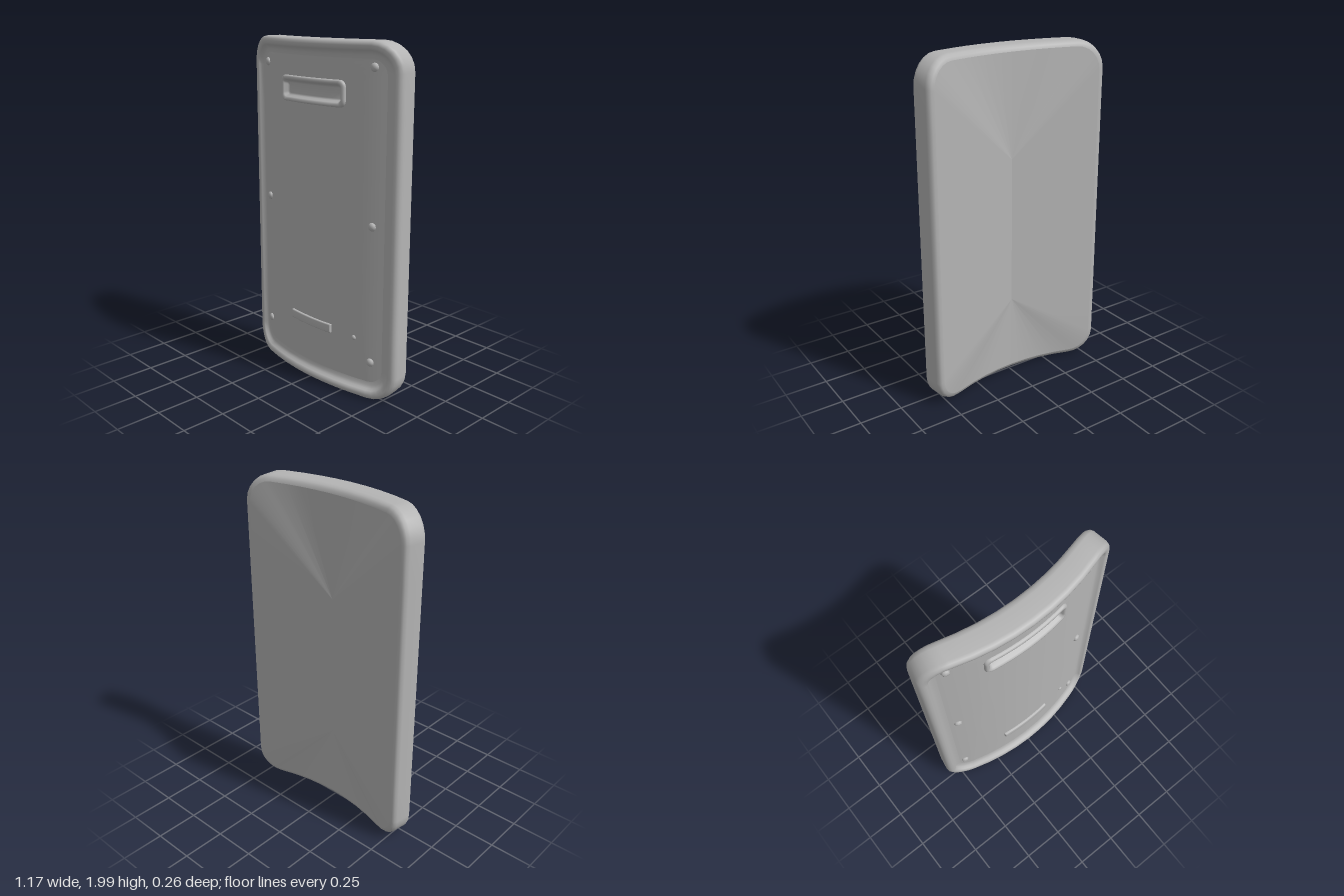
import * as THREE from 'three';

// Rounded-rectangle loop, counter-clockwise from the front; the point count is always the same
function loop(cx, cy, w, h, r) {
  const corners = [[1, -1], [1, 1], [-1, 1], [-1, -1]];
  const pts = [];
  corners.forEach(([sx, sy], q) => {
    const arc = [];
    for (let i = 0; i <= 6; i++) {
      const a = (q - 1 + i / 6) * Math.PI / 2;
      arc.push([cx + sx * (w - r) + r * Math.cos(a), cy + sy * (h - r) + r * Math.sin(a)]);
    }
    pts.push(...arc);
    // points along the straight edge to the next corner
    const [nx, ny] = corners[(q + 1) % 4];
    const a = (q * Math.PI) / 2;
    const end = [cx + nx * (w - r) + r * Math.cos(a), cy + ny * (h - r) + r * Math.sin(a)];
    const start = arc[6];
    for (let i = 1; i < 8; i++) {
      pts.push([start[0] + (end[0] - start[0]) * i / 8, start[1] + (end[1] - start[1]) * i / 8]);
    }
  });
  return pts;
}

// Wrap a flat point at depth d (0 = rim front, -0.16 = back) around the curved shield
function bend(x, y, d) {
  const u2 = (x / 0.587) ** 2;
  return [
    x * (1 + 0.245 * d),
    y + 0.02 * (1 - u2) * Math.max(0, 1 - y / 0.3),
    0.132 - 0.13 * u2 + d * (1 - 0.125 * u2),
  ];
}

// Skin a list of { pts, d } rings
function loft(rings) {
  const n = rings[0].pts.length, pos = [], idx = [];
  rings.forEach(({ pts, d }) => pts.forEach(([x, y]) => pos.push(...bend(x, y, d))));
  for (let k = 0; k < rings.length - 1; k++) {
    for (let i = 0; i < n; i++) {
      const j = (i + 1) % n, a = k * n + i, b = k * n + j, c = b + n, e = a + n;
      idx.push(a, b, c, a, c, e);
    }
  }
  const g = new THREE.BufferGeometry();
  g.setAttribute('position', new THREE.Float32BufferAttribute(pos, 3));
  g.setIndex(idx);
  g.computeVertexNormals();
  return g;
}

const outline = (inset, d) => ({ pts: loop(0, 1, 0.587 - inset, 1 - inset, 0.16 - inset * 0.8), d });
const grip = (inset, d) => ({ pts: loop(-0.003, 1.718, 0.257 - inset, 0.073 - inset, 0.035 - inset * 0.5), d });
const FLOOR = -0.04;

export function createModel() {
  const group = new THREE.Group();
  const grey = new THREE.MeshStandardMaterial({ color: 0xb4b4b4 });
  grey.name = 'grey';
  const add = (name, geo) => {
    const m = new THREE.Mesh(geo, grey);
    m.name = name;
    group.add(m);
    return m;
  };

  // Back panel fans out from a short centre line
  const backEdge = outline(0.035, -0.162);
  const spine = backEdge.pts.map(([, y]) => [0, Math.min(1.37, Math.max(0.5, y))]);
  add('backPanel', loft([{ pts: spine, d: -0.162 }, backEdge]));

  // Rounded side wall and raised front rim
  add('rim', loft([
    backEdge, outline(0.018, -0.156), outline(0.006, -0.142), outline(0, -0.12),
    outline(0, -0.03), outline(0.004, -0.012), outline(0.014, -0.002), outline(0.026, 0),
    outline(0.04, -0.003), outline(0.05, -0.012), outline(0.058, -0.028), outline(0.075, -0.037),
    outline(0.095, FLOOR),
  ]));

  // Recessed front panel, running from the rim to the grip opening
  const outer = outline(0.095, FLOOR), inner = grip(0, FLOOR);
  const panel = [];
  for (let k = 0; k <= 8; k++) {
    const t = k / 8;
    panel.push({
      pts: outer.pts.map(([x, y], i) => [
        x + (inner.pts[i][0] - x) * t,
        y + (inner.pts[i][1] - y) * t,
      ]),
      d: FLOOR,
    });
  }
  add('frontPanel', loft(panel));

  // Grip recess with a raised lip
  const dish = grip(0.045, -0.06);
  add('gripRecess', loft([
    inner, grip(0.002, -0.03), grip(0.008, -0.024), grip(0.018, -0.024), grip(0.026, -0.032),
    grip(0.034, -0.054), dish, { pts: dish.pts.map(([x]) => [x, 1.718]), d: -0.06 },
  ]));

  // Narrow raised bar near the bottom
  const bar = (inset, d) => ({ pts: loop(-0.003, 0.366, 0.168 - inset, 0.026 - inset, 0.004), d });
  const barTop = bar(0.006, -0.026);
  add('lowerBar', loft([
    bar(0, -0.045), bar(0, -0.03), barTop,
    { pts: barTop.pts.map(([x]) => [x, 0.366]), d: -0.026 },
  ]));

  // Rivets
  const rivet = new THREE.SphereGeometry(0.024, 8, 6);
  [[-0.44, 1.85], [0.418, 1.865], [-0.44, 1.04], [0.418, 1.02], [-0.453, 0.23], [0.42, 0.225], [0.317, 0.352, 0.6]]
    .forEach(([x, y, s = 1]) => {
      const m = add(s < 1 ? 'smallStud' : 'rivet', rivet);
      m.position.set(...bend(x, y, FLOOR));
      m.position.x = x;
      m.position.y = y;
      m.scale.set(s, s, s * 0.7);
      m.rotation.y = x * 0.7;
    });

  return group;
}
